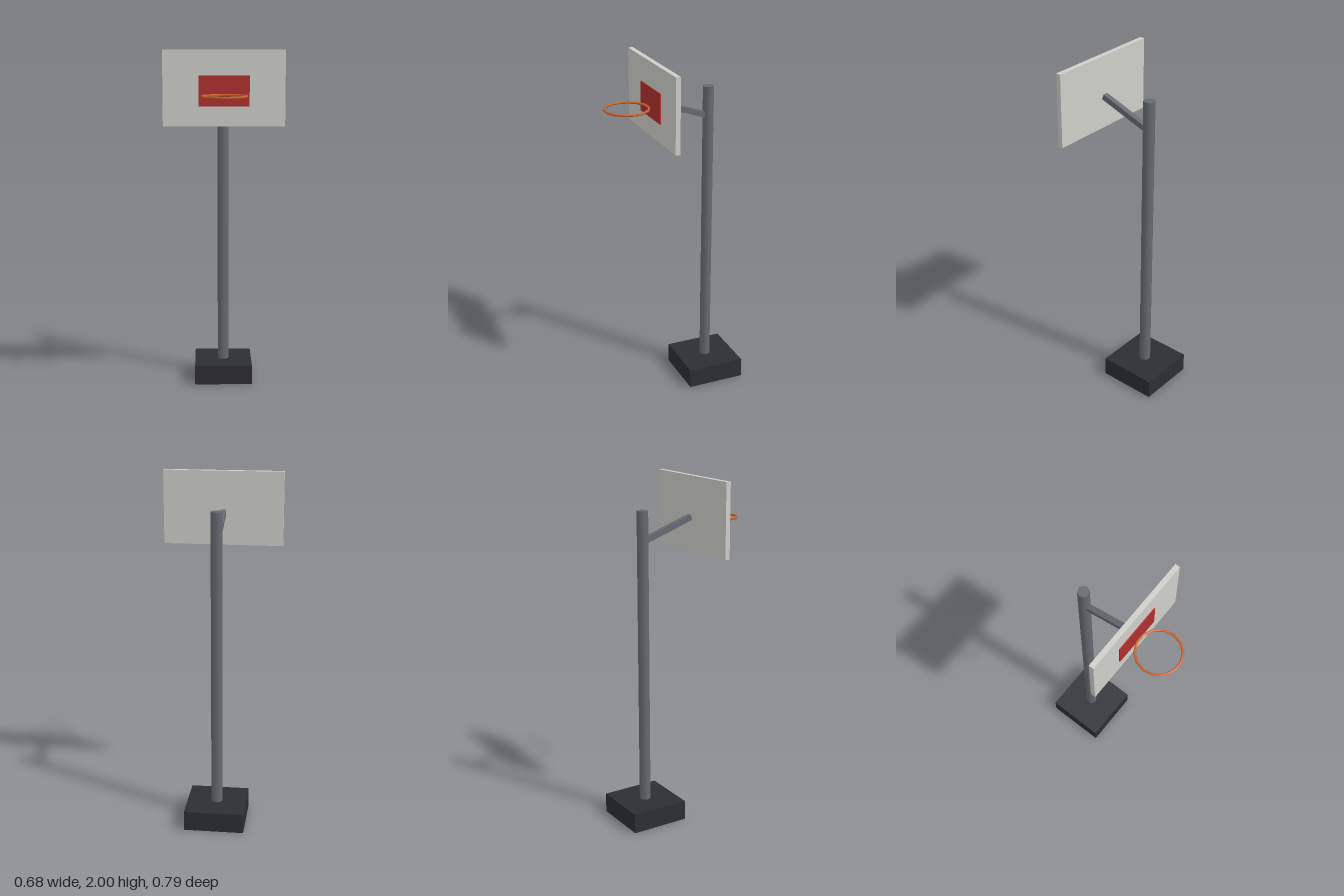
import * as THREE from 'three';

export function createModel() {
  const group = new THREE.Group();
  const steel = new THREE.MeshStandardMaterial({ color: 0x666b72 });

  function add(name, geometry, material, x, y, z) {
    const mesh = new THREE.Mesh(geometry, material);
    mesh.name = name;
    mesh.position.set(x, y, z);
    group.add(mesh);
    return mesh;
  }
  const paint = (color) => new THREE.MeshStandardMaterial({ color });

  // Weighted base and octagonal pole
  const poleZ = -0.224;
  add('base', new THREE.BoxGeometry(0.343, 0.115, 0.343), paint(0x2d2e32), 0, 0.0575, poleZ);
  add('pole', new THREE.CylinderGeometry(0.033, 0.033, 1.715, 8), steel, 0, 0.9725, poleZ);

  // Sloping arm from inside the pole to the back of the board
  const start = new THREE.Vector3(0, 1.658, poleZ);
  const end = new THREE.Vector3(0, 1.767, 0.089);
  const middle = start.clone().add(end).multiplyScalar(0.5);
  const arm = add('supportArm', new THREE.BoxGeometry(0.032, 0.032, start.distanceTo(end)),
    steel, middle.x, middle.y, middle.z);
  arm.rotation.x = -Math.atan2(end.y - start.y, end.z - start.z);

  // Backboard with its target panel
  add('backboard', new THREE.BoxGeometry(0.684, 0.422, 0.028), paint(0xcfcfca), 0, 1.789, 0.107);
  add('targetPanel', new THREE.BoxGeometry(0.285, 0.171, 0.007), paint(0xb0302d), 0, 1.774, 0.1235);

  // Fourteen-sided hoop
  const hoop = add('hoop', new THREE.TorusGeometry(0.123, 0.007, 6, 14), paint(0xcc6530), 0, 1.753, 0.264);
  hoop.rotation.x = Math.PI / 2;

  return group;
}
